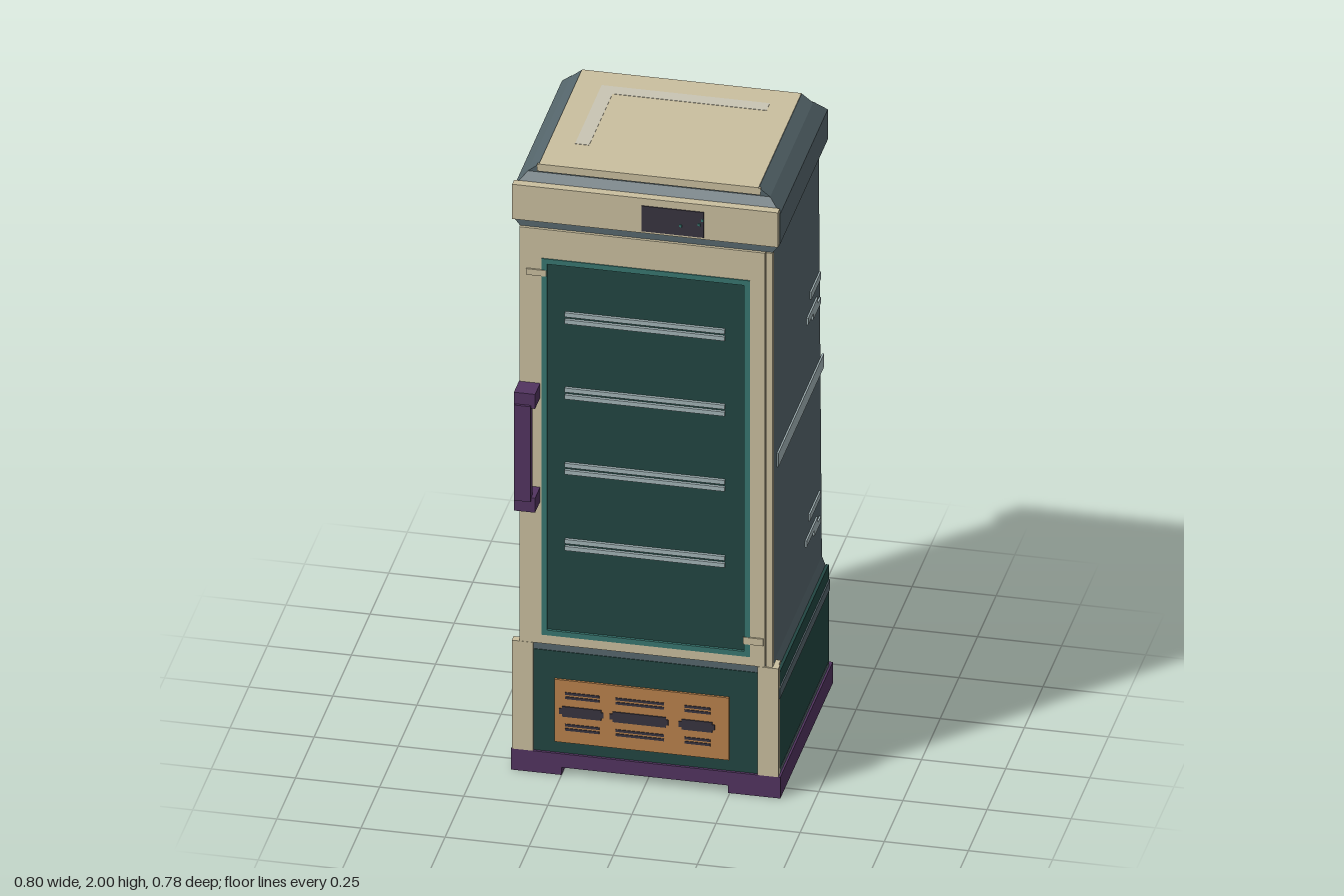
import * as THREE from 'three';

const mat = (name, color) => Object.assign(new THREE.MeshStandardMaterial({ color }), { name });

export function createModel() {
  const slate = mat('slate', 0x56676d), cream = mat('cream', 0xcabf9f), green = mat('darkGreen', 0x224642),
    teal = mat('teal', 0x38766f), purple = mat('purple', 0x523460), copper = mat('copper', 0xb9824c),
    pale = mat('paleGrey', 0xa3b4b7), dark = mat('charcoal', 0x38343f), sheen = mat('sheen', 0xc9c5b3);
  const root = new THREE.Group();
  root.name = 'displayFridge';

  const add = (name, geometry, material) => {
    const mesh = new THREE.Mesh(geometry, material);
    mesh.name = name;
    root.add(mesh);
    return mesh;
  };
  // Box given by its limits on each axis
  const box = (name, material, x0, x1, y0, y1, z0, z1) => {
    const g = new THREE.BoxGeometry(x1 - x0, y1 - y0, z1 - z0);
    g.translate((x0 + x1) / 2, (y0 + y1) / 2, (z0 + z1) / 2);
    return add(name, g, material);
  };
  // Tapered block: bottom and top are [halfWidth, zBack, zFront]
  const taper = (name, material, y0, bottom, y1, top) => {
    const g = new THREE.BoxGeometry(2, 1, 1);
    const p = g.attributes.position;
    for (let i = 0; i < p.count; i++) {
      const up = p.getY(i) > 0, r = up ? top : bottom;
      p.setXYZ(i, p.getX(i) * r[0], up ? y1 : y0, p.getZ(i) > 0 ? r[2] : r[1]);
    }
    g.computeVertexNormals();
    return add(name, g, material);
  };
  const rect = (Type, x0, x1, y0, y1) => {
    const s = new Type();
    s.moveTo(x0, y0); s.lineTo(x1, y0); s.lineTo(x1, y1); s.lineTo(x0, y1); s.closePath();
    return s;
  };
  // Rectangular frame with a rectangular opening
  const frame = (name, material, outer, inner, z0, z1) => {
    const s = rect(THREE.Shape, ...outer);
    s.holes.push(rect(THREE.Path, ...inner));
    const g = new THREE.ExtrudeGeometry(s, { depth: z1 - z0, bevelEnabled: false });
    g.translate(0, 0, z0);
    return add(name, g, material);
  };

  // Plinth with runners and a rear skirt
  box('plinth', purple, -0.4, 0.4, 0.025, 0.07, -0.39, 0.315);
  box('rightRunner', purple, -0.4, -0.25, 0, 0.025, -0.36, 0.315);
  box('leftRunner', purple, 0.245, 0.4, 0, 0.025, -0.36, 0.315);
  box('rearSkirt', purple, -0.4, 0.4, 0, 0.025, -0.39, -0.36);

  // Cabinet body
  taper('lowerBody', slate, 0.07, [0.385, -0.365, 0.295], 0.4, [0.385, -0.365, 0.295]);
  taper('lowerShoulder', slate, 0.4, [0.385, -0.365, 0.305], 0.435, [0.374, -0.36, 0.305]);
  taper('upperBody', slate, 0.435, [0.374, -0.36, 0.29], 1.81, [0.374, -0.318, 0.29]);

  // Top cap
  taper('capUnderside', slate, 1.805, [0.375, -0.318, 0.305], 1.83, [0.395, -0.345, 0.305]);
  taper('cap', slate, 1.83, [0.395, -0.345, 0.295], 1.93, [0.395, -0.345, 0.295]);
  taper('capSlope', slate, 1.93, [0.395, -0.345, 0.295], 1.97, [0.36, -0.31, 0.27]);
  taper('capCrown', slate, 1.97, [0.36, -0.305, 0.27], 1.997, [0.327, -0.303, 0.272]);
  box('roofPanel', cream, -0.326, 0.326, 1.992, 1.999, -0.302, 0.275);
  box('roofFrontEdge', cream, -0.332, 0.332, 1.975, 1.997, 0.267, 0.275);
  box('roofSheenLong', sheen, -0.25, 0.25, 1.998, 2, -0.222, -0.178);
  box('roofSheenShort', sheen, -0.25, -0.208, 1.998, 2, -0.178, 0.135);

  // Header board and display
  box('headerBoard', cream, -0.397, 0.393, 1.83, 1.945, 0.288, 0.315);
  box('display', dark, -0.012, 0.173, 1.837, 1.921, 0.313, 0.318);
  for (const [x, y] of [[0.1, 1.865], [0.155, 1.875], [0.165, 1.89]])
    box('displayLight', teal, x, x + 0.008, y, y + 0.008, 0.317, 0.3195);

  // Door with window
  frame('doorFrame', cream, [-0.376, 0.354, 0.43, 1.806], [-0.31, 0.31, 0.46, 1.71], 0.288, 0.314);
  box('doorJamb', cream, 0.357, 0.376, 0.43, 1.806, 0.288, 0.311);
  frame('windowTrim', teal, [-0.31, 0.31, 0.46, 1.71], [-0.293, 0.293, 0.477, 1.693], 0.288, 0.317);
  box('windowGlass', green, -0.294, 0.294, 0.476, 1.694, 0.29, 0.309);
  for (const y of [1.52, 1.27, 1.02, 0.767])
    for (const s of [-1, 1])
      box('shelfLine', pale, -0.24, 0.235, y + s * 0.0115 - 0.007, y + s * 0.0115 + 0.007, 0.308, 0.318);
  box('upperHinge', cream, -0.355, -0.295, 1.652, 1.672, 0.313, 0.319);
  box('lowerHinge', cream, 0.29, 0.35, 0.502, 0.525, 0.313, 0.319);

  // Door handle
  box('handleLowerMount', purple, -0.377, -0.314, 0.9, 0.948, 0.312, 0.382);
  box('handleUpperMount', purple, -0.377, -0.314, 1.245, 1.293, 0.312, 0.382);
  box('handleBar', purple, -0.375, -0.326, 0.938, 1.255, 0.363, 0.39);

  // Lower front with corner posts and vent panel
  box('rightPost', cream, -0.398, -0.335, 0.07, 0.43, 0.29, 0.315);
  box('leftPost', cream, 0.332, 0.394, 0.07, 0.43, 0.29, 0.315);
  box('leftPostCap', cream, 0.374, 0.39, 0.42, 0.43, 0.262, 0.29);
  box('lowerFront', green, -0.335, 0.332, 0.07, 0.405, 0.29, 0.307);
  box('ventPanel', copper, -0.272, 0.247, 0.108, 0.315, 0.306, 0.314);
  const slots = [[-0.245, -0.135], [-0.095, 0.057], [0.11, 0.195]];
  for (const [x0, x1] of slots) {
    box('ventSlot', dark, x0 - 0.003, x1 + 0.003, 0.195, 0.229, 0.313, 0.317);
    box('ventSlotTips', dark, x0 - 0.012, x1 + 0.01, 0.203, 0.221, 0.313, 0.3165);
    for (const y of [0.153, 0.167, 0.258, 0.272])
      box('ventLine', dark, x0 + 0.005, x1 - 0.003, y - 0.004, y + 0.004, 0.313, 0.316);
  }

  // Left side panel and trim
  box('sidePanel', green, 0.384, 0.393, 0.085, 0.405, -0.368, 0.295);
  box('sidePanelTrim', slate, 0.39, 0.397, 0.325, 0.357, -0.368, 0.306);
  box('sidePanelFoot', slate, 0.384, 0.394, 0.07, 0.085, -0.366, 0.29);

  // Left side stripes: [y0, y1, z0, z1]
  const stripes = [[1.06, 1.105, -0.367, 0.245], [1.375, 1.4, -0.325, -0.2], [1.315, 1.337, -0.285, -0.155],
    [1.295, 1.315, -0.325, -0.222], [0.65, 0.672, -0.325, -0.18], [0.587, 0.608, -0.285, -0.135],
    [0.567, 0.587, -0.325, -0.24]];
  for (const [y0, y1, z0, z1] of stripes) box('sideStripe', pale, 0.373, 0.379, y0, y1, z0, z1);

  return root;
}
